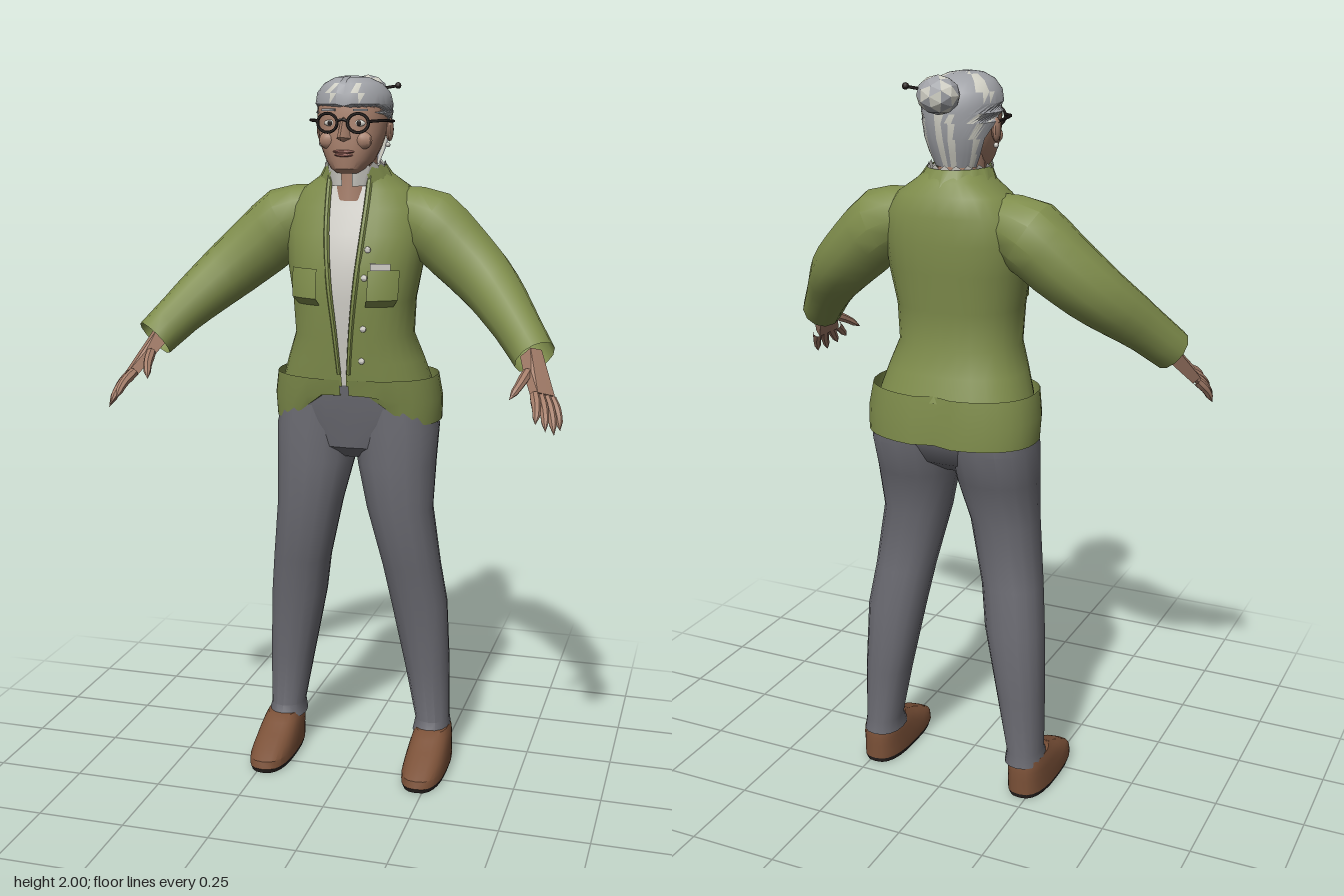
import * as THREE from 'three';
import { toCreasedNormals } from 'three/addons/utils/BufferGeometryUtils.js';
import { ConvexGeometry } from 'three/addons/geometries/ConvexGeometry.js';

const V = (x, y, z) => new THREE.Vector3(x, y, z);
const lerp = THREE.MathUtils.lerp;

function mat(name, color, side = THREE.FrontSide) {
  const m = new THREE.MeshStandardMaterial({ color, side });
  m.name = name;
  return m;
}

// Stacks oval rings [y, halfWidth, zBack, zFront, xCentre]; angle 0 faces the front.
function loft(S, { n = 24, e = 1, gap = null, from = 0, to = 2 * Math.PI, warp = null, cap = false } = {}) {
  const rows = S.map((s) => s.slice());
  if (cap) {
    const end = (s) => [s[0], 0, (s[2] + s[3]) / 2, (s[2] + s[3]) / 2, s[4]];
    rows.unshift(end(S[0]));
    rows.push(end(S[S.length - 1]));
  }
  const pos = [], idx = [], pow = (v) => Math.sign(v) * Math.abs(v) ** e;
  rows.forEach(([y, rx, z0, z1, cx = 0], i) => {
    const g = gap ? gap(y, rx) : 0;
    for (let j = 0; j <= n; j++) {
      const t = lerp(from + g, to - g, j / n);
      const p = V(cx + rx * pow(Math.sin(t)), y, (z0 + z1) / 2 + (z1 - z0) / 2 * pow(Math.cos(t)));
      if (warp) warp(p, i, j);
      pos.push(p.x, p.y, p.z);
      if (i && j) {
        const d = i * (n + 1) + j, c = d - 1, b = d - n - 1, a = b - 1;
        idx.push(a, b, d, a, d, c);
      }
    }
  });
  const geo = new THREE.BufferGeometry();
  geo.setAttribute('position', new THREE.Float32BufferAttribute(pos, 3));
  geo.setIndex(idx);
  return geo;
}

// Tube whose radius follows a list along its length
function taper(points, radii, steps = 12, sides = 10) {
  const geo = new THREE.TubeGeometry(new THREE.CatmullRomCurve3(points), steps, 1, sides);
  const p = geo.attributes.position, nrm = geo.attributes.normal;
  for (let i = 0; i < p.count; i++) {
    const f = Math.floor(i / (sides + 1)) / steps * (radii.length - 1);
    const k = Math.min(Math.floor(f), radii.length - 2);
    const r = lerp(radii[k], radii[k + 1], f - k) - 1;
    p.setXYZ(i, p.getX(i) + nrm.getX(i) * r, p.getY(i) + nrm.getY(i) * r, p.getZ(i) + nrm.getZ(i) * r);
  }
  return geo;
}

const ball = (r, x, y, z, sx = 1, sy = 1, sz = 1) =>
  new THREE.SphereGeometry(r, 12, 8).scale(sx, sy, sz).translate(x, y, z);

function finish(geo, crease, mirror) {
  const g = geo.index ? geo.toNonIndexed() : geo.clone();
  g.deleteAttribute('normal');
  g.deleteAttribute('uv');
  if (mirror) {
    g.scale(-1, 1, 1);
    const a = g.attributes.position.array;
    for (let i = 0; i < a.length; i += 9) {
      for (let k = 3; k < 6; k++) [a[i + k], a[i + k + 3]] = [a[i + k + 3], a[i + k]];
    }
  }
  return toCreasedNormals(g, crease);
}

// Gives each triangle material 0 or 1 by a rule on its centre
function paint(geo, rule) {
  const p = geo.attributes.position;
  geo.clearGroups();
  for (let i = 0; i < p.count; i += 3) {
    const c = V(0, 0, 0);
    for (let k = 0; k < 3; k++) c.add(V(0, 0, 0).fromBufferAttribute(p, i + k));
    geo.addGroup(i, 3, rule(c.divideScalar(3), i / 3) ? 1 : 0);
  }
  return geo;
}

// Jacket body profile
const BODY = [
  [1.165, 0.213, -0.265, 0.03], [1.23, 0.192, -0.245, 0.038], [1.3, 0.167, -0.22, 0.045],
  [1.4, 0.172, -0.225, 0.055], [1.5, 0.19, -0.24, 0.052], [1.58, 0.197, -0.245, 0.03],
  [1.65, 0.187, -0.243, 0.005], [1.7, 0.15, -0.232, -0.012], [1.735, 0.1, -0.21, -0.02], [1.755, 0.08, -0.19, -0.025],
];
const grow = ([y, rx, a, b], o) => [y, rx + o, a - o, b + o];
function bodyAt(y) {
  const i = Math.max(1, BODY.findIndex((s) => s[0] >= y)), a = BODY[i - 1], b = BODY[i];
  return a.map((v, k) => lerp(v, b[k], (y - a[0]) / (b[0] - a[0])));
}
const E = 0.85;
function onBody(x, y, off) {
  const [, rx, a, b] = bodyAt(y), s = (x / rx) ** (1 / E);
  return V(x, y, (a + b) / 2 + (b - a) / 2 * Math.sqrt(1 - s * s) ** E + off);
}

export function createModel() {
  const model = new THREE.Group();
  model.name = 'elderlyWoman';
  const green = mat('jacketGreen', 0x7f8d4c, THREE.DoubleSide);
  const grey = mat('trouserGrey', 0x6a6a71, THREE.DoubleSide);
  const skin = mat('skin', 0xa67f6b);
  const silver = mat('silverHair', 0xa0a2a7, THREE.DoubleSide);
  const pale = mat('paleHair', 0xd2d1c6, THREE.DoubleSide);
  const cream = mat('shirtCream', 0xcfcdc6, THREE.DoubleSide);
  const brown = mat('shoeBrown', 0x7b5138);
  const dark = mat('darkBrown', 0x2a2321);
  const rose = mat('lipRose', 0x8f5b52);

  const add = (name, geo, m, crease = 0.6, mirror = false) => {
    const mesh = new THREE.Mesh(finish(geo, crease, mirror), m);
    mesh.name = name;
    model.add(mesh);
    return mesh;
  };
  const pair = (name, geo, m, crease) => {
    add('left' + name, geo, m, crease);
    add('right' + name, geo, m, crease, true);
  };

  // Shoes and soles
  pair('Sole', loft([[0, 0.058, -0.205, 0.1, 0.232], [0.014, 0.062, -0.21, 0.106, 0.232]], { e: 0.75, cap: true }), dark);
  pair('Shoe', loft([
    [0.014, 0.062, -0.21, 0.106, 0.232], [0.035, 0.062, -0.21, 0.1, 0.232], [0.055, 0.06, -0.21, 0.065, 0.232],
    [0.08, 0.057, -0.21, 0.01, 0.232], [0.1, 0.053, -0.208, -0.035, 0.232], [0.115, 0.047, -0.205, -0.06, 0.232],
  ], { e: 0.75, cap: true }), brown);

  // Trousers
  pair('TrouserLeg', loft([
    [0.1, 0.056, -0.217, -0.066, 0.226], [0.135, 0.05, -0.21, -0.085, 0.226], [0.3, 0.066, -0.213, -0.076, 0.209],
    [0.5, 0.083, -0.21, -0.058, 0.184], [0.62, 0.085, -0.19, -0.03, 0.166], [0.8, 0.096, -0.178, 0, 0.134],
    [0.93, 0.113, -0.22, 0.003, 0.12], [1.03, 0.118, -0.255, 0.002, 0.118], [1.1, 0.11, -0.25, 0, 0.11],
  ], { n: 16, e: 0.9 }), grey);
  add('trouserSeat', loft([
    [0.945, 0.06, -0.16, -0.05], [0.98, 0.15, -0.215, -0.01], [1.05, 0.226, -0.255, 0.002],
    [1.12, 0.222, -0.262, 0.012], [1.18, 0.2, -0.25, 0.018],
  ], { n: 28, e: 0.85, cap: true }), grey);

  // Shirt and open jacket
  add('shirt', loft(BODY.map((s) => grow(s, -0.012)), { n: 28, e: E }), cream);
  const opening = (y, rx) => Math.asin((lerp(0.004, 0.05, THREE.MathUtils.smoothstep(y, 1.1, 1.72)) / rx) ** (1 / E));
  add('jacketBody', loft(BODY, { n: 28, e: E, gap: opening }), green);

  // Jacket hem, cut away at the front and dented at the centre back
  add('jacketHem', loft([[1.05, 0.24, -0.287, 0.015], [1.115, 0.242, -0.287, 0.026], [1.183, 0.231, -0.279, 0.036]], {
    n: 32, e: E, gap: () => 0.03,
    warp: (p, i) => {
      if (p.z > -0.1) p.y = lerp(p.y, 1.183, 0.68 * (1 - i / 2) * THREE.MathUtils.smoothstep(0.2 - Math.abs(p.x), 0, 0.16));
      if (p.z < -0.2) p.z += 0.02 * Math.exp(-((p.x / 0.03) ** 2));
    },
  }), green);

  // Jacket lapel edges, collar and chest pockets
  const edge = [1.2, 1.32, 1.45, 1.58, 1.68, 1.735].map((y) =>
    onBody(lerp(0.004, 0.05, THREE.MathUtils.smoothstep(y, 1.1, 1.72)) + 0.006, y, 0));
  pair('LapelEdge', taper(edge, [0.006, 0.008, 0.008], 14, 6), green);
  add('jacketCollar', loft([[1.725, 0.108, -0.217, -0.005], [1.765, 0.082, -0.193, 0]], {
    n: 24, gap: () => 0.55, warp: (p, i, j) => { if (!i) p.y -= 0.012 * (j % 2); },
  }), green);
  const pocket = [1.39, 1.41, 1.45, 1.49].map((y, i) => grow(bodyAt(y), [0, 0.016, 0.012, 0.004][i]));
  pair('ChestPocket', loft(pocket, { n: 6, e: E, from: 0.32, to: 0.85 }), green);

  // Buttons and a plain badge on the left front
  [[0.068, 1.545], [0.062, 1.47], [0.058, 1.33], [0.052, 1.24]].forEach(([x, y], i) => {
    const p = onBody(x, y, 0.002);
    add('button' + (i + 1), ball(0.009, p.x, p.y, p.z, 1, 1, 0.5), cream);
  });
  const tag = onBody(0.105, 1.5, 0.006);
  add('badge', new THREE.BoxGeometry(0.055, 0.018, 0.008).rotateY(0.25).translate(tag.x, tag.y, tag.z), cream, 0.1);

  // Sleeves
  pair('Sleeve', taper([
    V(0.11, 1.64, -0.12), V(0.2, 1.605, -0.12), V(0.29, 1.53, -0.105), V(0.375, 1.455, -0.07),
    V(0.46, 1.37, 0.01), V(0.535, 1.285, 0.088),
  ], [0.07, 0.1, 0.094, 0.086, 0.075, 0.064, 0.058], 12, 12), green);

  // Hands: palm, fingers and thumb
  const nrm = V(0.69, 0.65, 0.31), knuckle = [], palm = [];
  for (let i = 0; i < 4; i++) {
    knuckle.push(V(lerp(0.553, 0.59, i / 3), lerp(1.208, 1.19, i / 3), lerp(0.198, 0.148, i / 3)));
  }
  [...knuckle, V(0.51, 1.298, 0.09), V(0.535, 1.288, 0.06), V(0.527, 1.25, 0.15)].forEach((p) => {
    for (const s of [-0.013, 0.013]) palm.push(p.clone().addScaledVector(nrm, s * (p.y > 1.28 ? 1.6 : 1)));
  });
  pair('Palm', new ConvexGeometry(palm), skin);
  const tips = [V(0.57, 1.15, 0.285), V(0.594, 1.13, 0.272), V(0.612, 1.115, 0.24), V(0.622, 1.118, 0.2)];
  const finger = (a, b) => taper([a, a.clone().lerp(b, 0.5).addScaledVector(nrm, 0.006), b], [0.013, 0.014, 0.012, 0.01, 0], 8, 7);
  tips.forEach((t, i) => pair('Finger' + (i + 1), finger(knuckle[i], t), skin));
  pair('Thumb', finger(V(0.525, 1.255, 0.14), V(0.495, 1.2, 0.24)), skin);

  // Neck and ruffled shirt collar
  add('neck', loft([[1.67, 0.07, -0.17, -0.01], [1.73, 0.06, -0.16, -0.015], [1.83, 0.06, -0.15, -0.02]], { n: 16 }), skin);
  add('shirtCollar', loft([[1.71, 0.072, -0.18, 0], [1.775, 0.08, -0.186, 0.006]], {
    n: 32, gap: () => 0.2, warp: (p, i, j) => { if (i) { p.x *= 1 + 0.06 * (j % 2); p.y -= 0.012 * (j % 2); } },
  }), cream);

  // Head and face
  add('head', loft([
    [1.745, 0.03, -0.04, 0.018], [1.757, 0.048, -0.07, 0.031], [1.78, 0.066, -0.11, 0.034], [1.81, 0.08, -0.13, 0.036],
    [1.85, 0.092, -0.15, 0.033], [1.89, 0.096, -0.155, 0.029], [1.93, 0.095, -0.155, 0.027], [1.96, 0.08, -0.14, 0.015],
  ], { n: 24, e: 0.92, cap: true }), skin);
  add('nose', new ConvexGeometry([
    V(0, 1.893, 0.036), V(0.01, 1.885, 0.025), V(-0.01, 1.885, 0.025), V(0, 1.842, 0.068), V(0, 1.832, 0.062),
    V(0.02, 1.837, 0.03), V(-0.02, 1.837, 0.03), V(0.012, 1.84, 0.056), V(-0.012, 1.84, 0.056), V(0, 1.828, 0.03),
  ]), skin);
  add('upperLip', ball(0.03, 0, 1.803, 0.033, 1, 0.17, 0.25), rose);
  add('lowerLip', ball(0.026, 0, 1.794, 0.033, 1, 0.19, 0.27), rose);
  pair('Cheek', ball(0.026, 0.048, 1.832, 0.014, 1, 0.9, 0.6), skin);
  pair('Eye', ball(0.017, 0.04, 1.877, 0.022, 1, 0.5, 0.3), cream);
  pair('Pupil', ball(0.007, 0.04, 1.877, 0.026, 1, 1, 0.4), dark);
  pair('Eyebrow', new THREE.BoxGeometry(0.04, 0.006, 0.008).rotateY(0.3).translate(0.044, 1.911, 0.024), silver, 0.1);
  pair('Ear', ball(0.03, 0.097, 1.858, -0.082, 0.35, 1.05, 0.65), skin);
  pair('Earring', ball(0.007, 0.094, 1.818, -0.075), cream);

  // Round spectacles
  pair('Rim', new THREE.TorusGeometry(0.028, 0.0045, 6, 20).scale(1, 0.88, 1).rotateY(0.12).translate(0.042, 1.878, 0.042), dark);
  add('bridge', taper([V(-0.015, 1.882, 0.045), V(0, 1.887, 0.048), V(0.015, 1.882, 0.045)], [0.004, 0.004], 6, 6), dark);
  pair('Temple', taper([V(0.069, 1.882, 0.038), V(0.098, 1.884, 0.01), V(0.106, 1.88, -0.09)], [0.004, 0.004], 8, 6), dark);

  // Hair with a centre parting and pale streaks
  const hair = add('hair', loft([
    [1.765, 0.064, -0.155, -0.03], [1.8, 0.08, -0.168, -0.02], [1.84, 0.094, -0.182, 0], [1.88, 0.102, -0.188, 0.022],
    [1.903, 0.105, -0.19, 0.034], [1.926, 0.105, -0.19, 0.038], [1.955, 0.099, -0.18, 0.037], [1.98, 0.077, -0.15, 0.023],
    [1.995, 0.045, -0.11, 0], [2, 0.012, -0.06, -0.035],
  ], {
    n: 32, cap: true,
    gap: (y) => (y < 1.86 ? 2 : y < 1.89 ? 1.65 : y < 1.91 ? 0.9 : 0),
    warp: (p) => { if (p.y > 1.91 && p.z > -0.06 && Math.abs(p.x) < 0.002) { p.y -= 0.005; p.z -= 0.004; } },
  }), [silver, pale], 0.7);
  paint(hair.geometry, (c) => {
    const a = Math.abs(Math.atan2(c.x, c.z + 0.07));
    return c.y > 1.94 ? (a > 1.9 && a < 2.35) || (a > 0.25 && a < 0.45 && c.y < 1.985) : c.y < 1.9 && Math.sin(a * 11) > 0.6;
  });

  // Bun with a hairpin
  const bun = add('bun', new THREE.IcosahedronGeometry(0.056, 1).scale(1, 0.88, 0.92).translate(0, 1.953, -0.218), [silver, pale], 0.1);
  paint(bun.geometry, (c, i) => (i * 7) % 5 < 2);
  add('hairpin', taper([V(0.03, 1.965, -0.222), V(0.055, 1.968, -0.228), V(0.08, 1.972, -0.234)], [0.004, 0.004], 4, 6), dark);
  add('hairpinBead', ball(0.009, 0.082, 1.973, -0.235), dark);

  return model;
}
